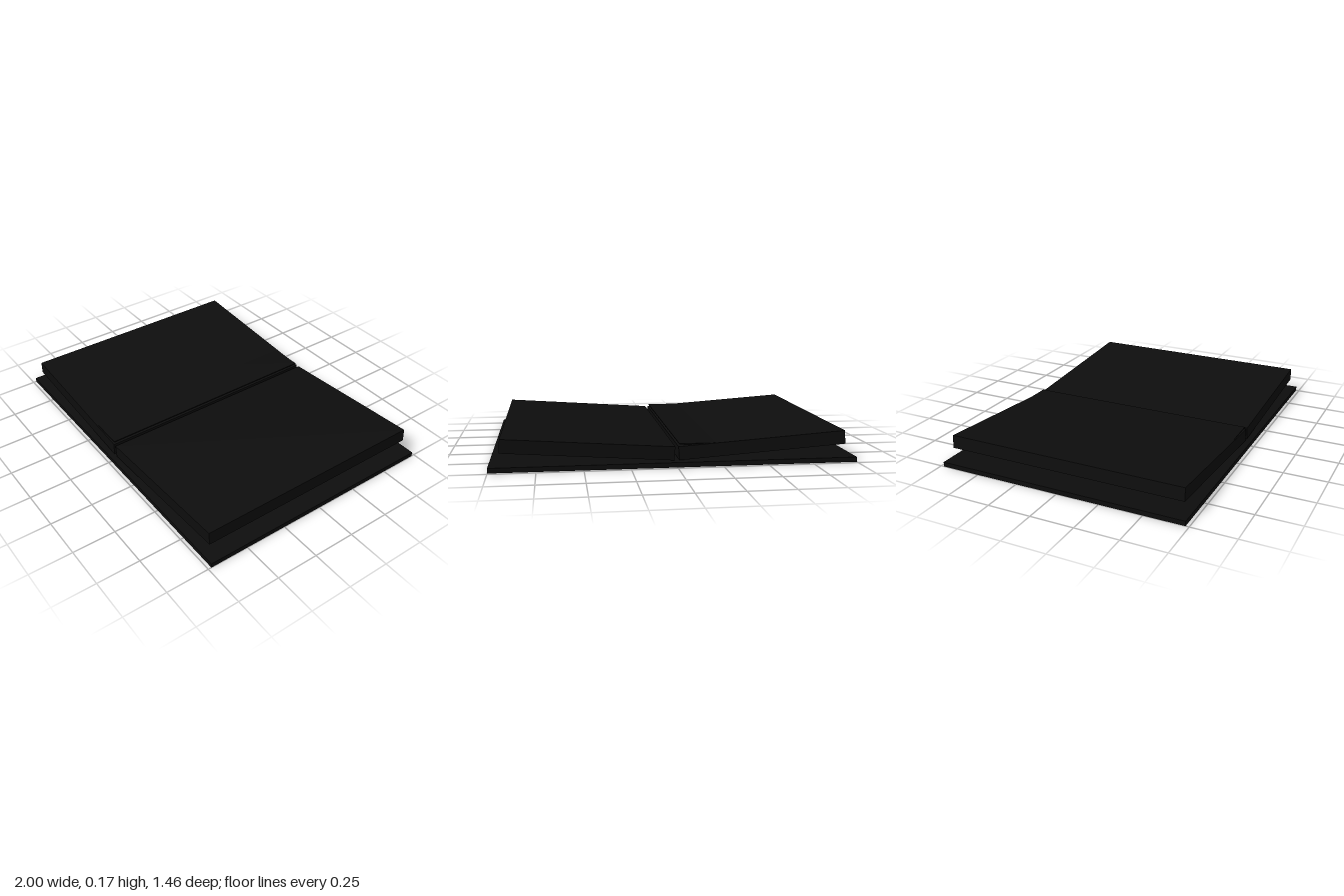
import * as THREE from 'three';

export function createModel() {
  const book = new THREE.Group();
  book.name = 'openBook';
  const black = new THREE.MeshStandardMaterial({ color: 0x0d0d0d });
  black.name = 'black';

  function addBox(name, [w, h, d], [x, y, z], tilt = 0) {
    const mesh = new THREE.Mesh(new THREE.BoxGeometry(w, h, d), black);
    mesh.name = name;
    mesh.position.set(x, y, z);
    mesh.rotation.z = tilt;
    book.add(mesh);
  }

  // Flat cover lying on the ground
  addBox('cover', [2, 0.027, 1.462], [0, 0.0135, 0]);

  // Two page blocks, rising away from the spine
  for (const side of [-1, 1]) {
    addBox(side > 0 ? 'leftPages' : 'rightPages', [0.93, 0.075, 1.4], [side * 0.475, 0.102, 0], side * 0.07);
  }

  // Loose flat sheet, showing only beside the spine
  addBox('looseSheet', [0.91, 0.005, 1.385], [-0.47, 0.119, 0]);

  return book;
}
